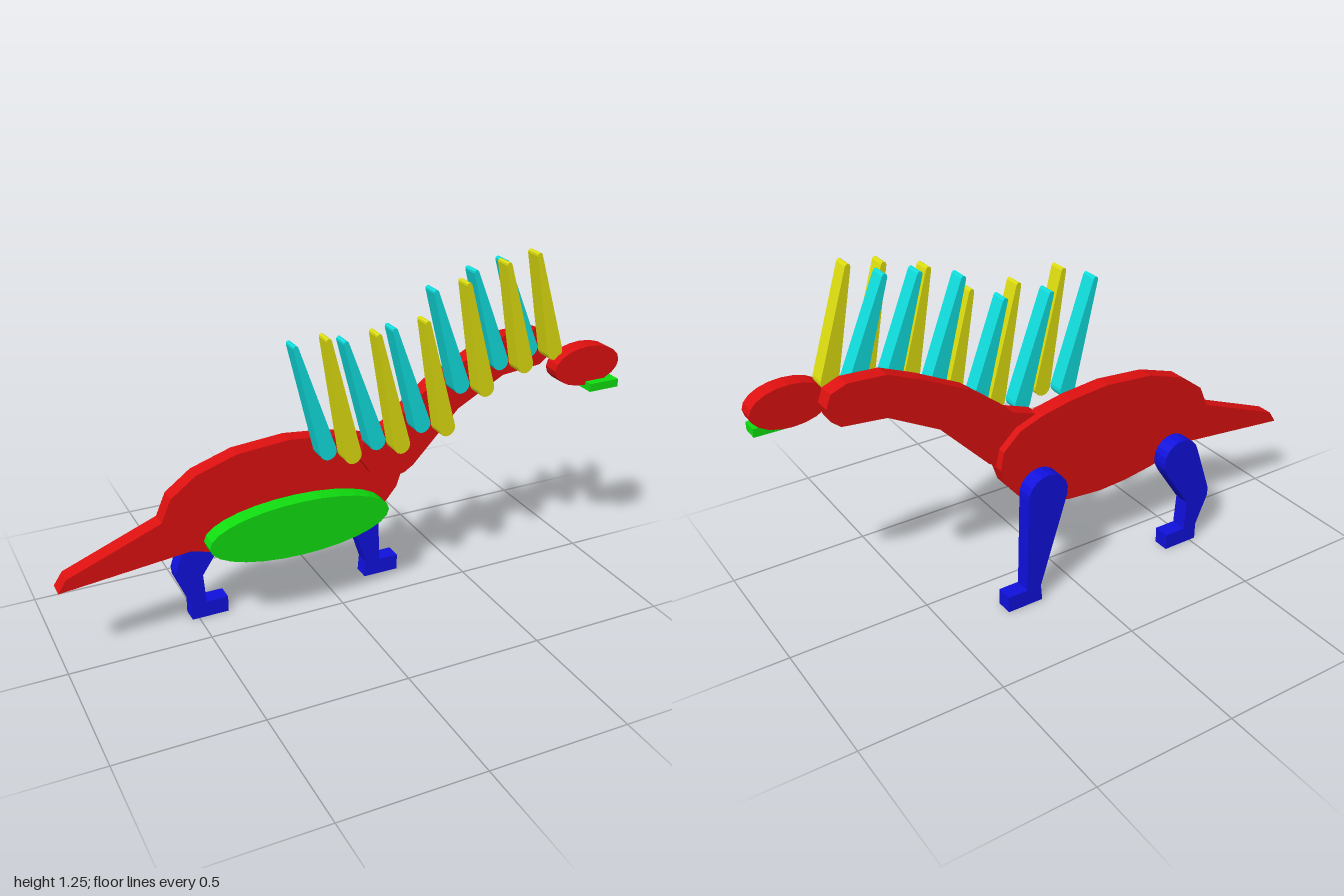
import * as THREE from 'three';

const DEPTH = 0.06;
const mat = (name, color) => {
  const m = new THREE.MeshStandardMaterial({ color });
  m.name = name;
  return m;
};

export function createModel() {
  const model = new THREE.Group();
  model.name = 'spinyDinosaur';
  const red = mat('red', 0xde1010), blue = mat('blue', 0x1010de), green = mat('green', 0x10de10);
  const cyan = mat('cyan', 0x10dede), yellow = mat('yellow', 0xdede10);

  // Every part is a flat plate cut from an outline, from z to z + depth
  function plate(name, points, z, material, depth = DEPTH) {
    const shape = new THREE.Shape(points.map(p => new THREE.Vector2(p[0], p[1])));
    const geo = new THREE.ExtrudeGeometry(shape, { depth, bevelEnabled: false });
    const mesh = new THREE.Mesh(geo, material);
    mesh.name = name;
    mesh.position.z = z;
    model.add(mesh);
  }

  // Points along an elliptical arc
  function arc(cx, cy, rx, ry, from, to, n) {
    return Array.from({ length: n + 1 }, (_, i) => {
      const a = from + (to - from) * i / n;
      return [cx + rx * Math.cos(a), cy + ry * Math.sin(a)];
    });
  }
  const ellipse = (cx, cy, rx, ry, n) => arc(cx, cy, rx, ry, 0, 2 * Math.PI, n).slice(0, -1);

  // Body with tail
  plate('bodyAndTail', [
    [-1, 0.3], [-0.55, 0.346], [-0.52, 0.338], [-0.4, 0.297], [-0.28, 0.277], [-0.17, 0.27],
    [-0.04, 0.28], [0.08, 0.307], [0.168, 0.362], [0.216, 0.42], [0.238, 0.485], [0.225, 0.55],
    [0.16, 0.61], [0.07, 0.643], [-0.045, 0.667], [-0.19, 0.682], [-0.376, 0.667],
    [-0.52, 0.62], [-0.61, 0.553], [-0.645, 0.473], [-0.97, 0.345],
  ], -0.075, red);

  // Neck
  plate('neck', [
    [0.1, 0.51], [0.13, 0.49], [0.18, 0.478], [0.23, 0.485], [0.265, 0.507], [0.44, 0.69],
    [0.617, 0.785], [0.77, 0.8], [0.8, 0.825], [0.812, 0.87], [0.795, 0.915], [0.74, 0.937],
    [0.61, 0.93], [0.49, 0.88], [0.33, 0.8], [0.17, 0.672], [0.07, 0.635], [0.063, 0.565],
  ], -0.045, red);

  // Belly, head and jaw
  plate('belly', ellipse(-0.174, 0.372, 0.331, 0.102, 28), -0.015, green);
  plate('head', ellipse(0.864, 0.832, 0.132, 0.072, 20), 0.105, red);
  plate('jaw', [[0.862, 0.744], [0.98, 0.744], [0.98, 0.773], [0.862, 0.773]], 0.135, green);

  // Legs: rounded hip, tapering shank and square foot
  plate('hindLeg', [
    [-0.525, 0], [-0.39, 0], [-0.39, 0.06], [-0.47, 0.06], [-0.478, 0.17], [-0.385, 0.31],
    ...arc(-0.44, 0.365, 0.075, 0.075, -0.3, 2.9, 10), [-0.575, 0.2], [-0.572, 0.17], [-0.525, 0.06],
  ], -0.19, blue);
  plate('frontLeg', [
    [0.152, 0], [0.287, 0], [0.287, 0.06], [0.212, 0.06],
    ...arc(0.125, 0.412, 0.077, 0.077, -0.1, 3.35, 10), [0.157, 0.06],
  ], -0.19, blue);

  // Back spines: a wide rounded root tapering to a narrow rounded tip
  function spine(name, bx, by, tx, ty, z, material) {
    const dir = Math.atan2(ty - by, tx - bx), h = Math.PI / 2;
    plate(name, [
      ...arc(bx, by, 0.03, 0.03, dir + h, dir + 3 * h, 8),
      ...arc(tx, ty, 0.009, 0.009, dir - h, dir + h, 4),
    ], z, material);
  }
  const roots = [[-0.088, 0.655], [0.093, 0.655], [0.265, 0.685], [0.413, 0.803], [0.565, 0.863], [0.682, 0.893]];
  const tips = [[-0.199, 1.036], [-0.023, 1.024], [0.153, 1.041], [0.302, 1.149], [0.451, 1.197], [0.567, 1.215]];
  roots.forEach(([x, y], i) => {
    const [tx, ty] = tips[i];
    spine('innerSpine' + (i + 1), x, y, tx, ty, 0.015, cyan);
    spine('outerSpine' + (i + 1), x + 0.062, y, tx + 0.088, ty + 0.03, 0.075, yellow);
  });

  return model;
}
